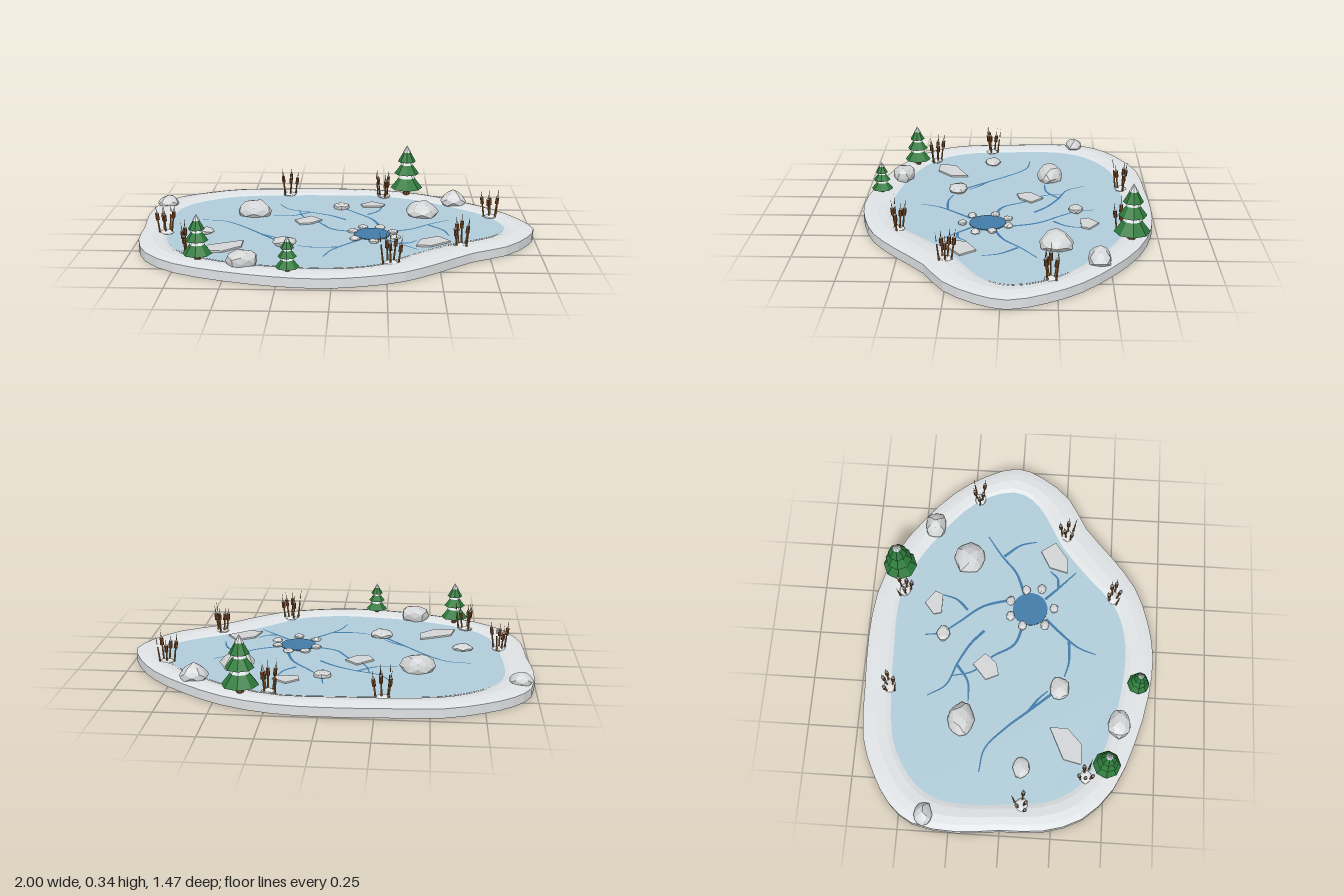
import * as THREE from 'three';

const mat = (name, color, side = THREE.FrontSide) => {
  const m = new THREE.MeshStandardMaterial({ color, flatShading: true, side });
  m.name = name;
  return m;
};
const M = {
  snow: mat('snow', 0xdfe2e4),
  rock: mat('paleStone', 0xd3d4d5),
  ice: mat('ice', 0xb0ccd9),
  water: mat('water', 0x427ba8, THREE.DoubleSide),
  green: mat('pineGreen', 0x2c7a3a),
  trunk: mat('bark', 0x6b4526),
  stalk: mat('stalk', 0x9a6a38),
  head: mat('cattailBrown', 0x6e4222),
};

// Matching shoreline points [x, z]: outer edge and edge of the ice
const OUTER = [[1, -.03], [.94, -.2], [.83, -.36], [.66, -.51], [.46, -.64], [.22, -.72], [-.02, -.74], [-.29, -.73], [-.56, -.71],
  [-.74, -.64], [-.88, -.55], [-.97, -.43], [-1, -.21], [-.98, 0], [-.97, .21], [-.9, .4], [-.74, .55], [-.5, .65], [-.26, .71],
  [-.05, .73], [.14, .7], [.33, .63], [.49, .51], [.66, .36], [.83, .26], [.95, .11]];
const INNER = [[.85, -.04], [.81, -.18], [.72, -.3], [.57, -.42], [.4, -.53], [.18, -.6], [-.05, -.6], [-.31, -.59], [-.55, -.56],
  [-.68, -.5], [-.78, -.42], [-.84, -.32], [-.86, -.19], [-.85, 0], [-.83, .2], [-.76, .35], [-.62, .46], [-.41, .535], [-.22, .57],
  [-.05, .585], [.09, .57], [.22, .52], [.36, .39], [.54, .235], [.71, .14], [.81, .06]];
const ICE_Y = 0.045;

function add(parent, name, geometry, material, x = 0, y = 0, z = 0) {
  const mesh = new THREE.Mesh(geometry, material);
  mesh.name = name;
  mesh.position.set(x, y, z);
  parent.add(mesh);
  return mesh;
}

function group(parent, name, x = 0, y = 0, z = 0) {
  const g = new THREE.Group();
  g.name = name;
  g.position.set(x, y, z);
  parent.add(g);
  return g;
}

function closedCurve(points, n) {
  const c = new THREE.CatmullRomCurve3(points.map(([x, z]) => new THREE.Vector3(x, 0, z)), true);
  return Array.from({ length: n }, (_, i) => c.getPoint(i / n));
}

// Flat horizontal polygon facing up or down
function flat(points, up) {
  const shape = new THREE.Shape(points.map(p => new THREE.Vector2(p.x, up ? -p.z : p.z)));
  return new THREE.ShapeGeometry(shape).rotateX(up ? -Math.PI / 2 : Math.PI / 2);
}

// Skin a stack of closed rows
function loft(rows) {
  const n = rows[0].length, pos = [], idx = [];
  rows.forEach(r => r.forEach(p => pos.push(p.x, p.y, p.z)));
  for (let r = 0; r < rows.length - 1; r++) for (let i = 0; i < n; i++) {
    const a = r * n + i, b = r * n + (i + 1) % n;
    idx.push(a, b, a + n, b, b + n, a + n);
  }
  const g = new THREE.BufferGeometry();
  g.setAttribute('position', new THREE.Float32BufferAttribute(pos, 3));
  g.setIndex(idx);
  g.computeVertexNormals();
  return g;
}

// Tapering flat strip through a few points
function ribbon(points, w0, w1) {
  const c = new THREE.CatmullRomCurve3(points.map(([x, z]) => new THREE.Vector3(x, 0, z)));
  const n = points.length * 4, left = [], right = [];
  for (let i = 0; i <= n; i++) {
    const p = c.getPoint(i / n), t = c.getTangent(i / n), w = THREE.MathUtils.lerp(w0, w1, i / n) / 2;
    left.push(new THREE.Vector3(p.x - t.z * w, 0, p.z + t.x * w));
    right.unshift(new THREE.Vector3(p.x + t.z * w, 0, p.z - t.x * w));
  }
  return flat([...left, ...right], true);
}

// Irregular faceted boulder
function rockGeometry(rx, ry, rz, seed) {
  const g = new THREE.IcosahedronGeometry(1, 1), p = g.attributes.position, v = new THREE.Vector3();
  for (let i = 0; i < p.count; i++) {
    v.fromBufferAttribute(p, i);
    const k = 1 + 0.1 * Math.sin(v.x * 4.1 + seed) * Math.cos(v.z * 3.7 + seed * 2) + 0.05 * Math.sin(v.y * 5 + seed * 3);
    p.setXYZ(i, v.x * k * rx, Math.max(v.y, -0.4) * k * ry, v.z * k * rz);
  }
  g.computeVertexNormals();
  return g;
}

function pine(parent, x, z, top, radius) {
  const base = 0.048, H = top - base, g = group(parent, 'pineTree', x, base, z);
  add(g, 'trunk', new THREE.CylinderGeometry(radius * .17, radius * .22, H * .3, 7), M.trunk, 0, H * .15, 0);
  // [bottom, top, radius, snow share of the tier]
  [[.16, .56, 1, .5], [.45, .78, .78, .48], [.69, 1, .56, .42]].forEach(([b, t, r, s]) => {
    const h = (t - b) * H, R = r * radius;
    add(g, 'branches', new THREE.ConeGeometry(R, h, 8), M.green, 0, b * H + h / 2, 0);
    add(g, 'snowCap', new THREE.ConeGeometry(R * s * 1.08, h * s * 1.04, 8), M.snow, 0, t * H - h * s / 2 + .002, 0);
  });
}

function reeds(parent, x, z, seed) {
  const g = group(parent, 'cattails', x, 0.05, z);
  add(g, 'snowMound', rockGeometry(.035, .012, .03, seed), M.snow);
  for (let i = 0; i < 5; i++) {
    const a = seed * 1.7 + i * 2.4, r = .014 + .007 * i, h = .075 + .02 * ((i * 3 + seed) % 4) / 3;
    const s = group(g, 'cattail', Math.cos(a) * r, 0, Math.sin(a) * r * .8);
    s.rotation.set(Math.sin(a) * .13, 0, -Math.cos(a) * .13);
    add(s, 'stem', new THREE.CylinderGeometry(.0035, .005, h, 5), M.stalk, 0, h / 2, 0);
    if (i < 4) {
      add(s, 'seedHead', new THREE.CylinderGeometry(.009, .01, .036, 6), M.head, 0, h, 0);
      add(s, 'headSnow', new THREE.ConeGeometry(.009, .008, 6), M.snow, 0, h + .022, 0);
    }
    add(s, 'tip', new THREE.ConeGeometry(.0025, .05, 4), M.stalk, 0, h + .04, 0);
  }
}

export function createModel() {
  const model = new THREE.Group();
  model.name = 'frozenPond';

  // Bank: outer wall, rounded snowy rim, slope down to the ice
  const N = 52, outer = closedCurve(OUTER, N), inner = closedCurve(INNER, N);
  const row = (t, y) => outer.map((p, i) => p.clone().lerp(inner[i], t).setY(y));
  add(model, 'snowBank', loft([row(0, 0), row(0, .046), row(.22, .053), row(.5, .057), row(.82, .051), row(1, .042)]), M.snow);
  add(model, 'underside', flat(outer, false), M.snow);
  add(model, 'ice', flat(row(.97, 0), true), M.ice, 0, ICE_Y, 0);

  // Fishing hole ringed with small stones
  add(model, 'waterHole', new THREE.CylinderGeometry(.09, .09, .004, 32), M.water, .18, ICE_Y + .002, .085);
  [[.135, -.015], [.22, -.02], [.285, .06], [.295, .14], [.19, .21], [.095, .165], [.085, .05]].forEach(([x, z], i) =>
    add(model, 'holeStone', rockGeometry(.026, .014, .022, i), M.rock, x, ICE_Y + .004, z));

  // Cracks in the ice
  const cracks = group(model, 'cracks', 0, ICE_Y + .002, 0);
  [
    [[.23, 0], [.18, -.16], [.085, -.28], [.02, -.37], [.005, -.45]],
    [[.155, -.24], [.21, -.3], [.235, -.39]],
    [[.1, .055], [-.02, .015], [-.09, -.09], [-.18, -.19], [-.21, -.3]],
    [[.045, -.145], [-.03, -.21], [-.14, -.27], [-.26, -.32], [-.32, -.41]],
    [[-.15, -.27], [-.235, -.21], [-.34, -.2]],
    [[.26, .05], [.38, 0], [.47, -.08], [.58, -.16]],
    [[.47, -.07], [.54, .015], [.565, .1]],
    [[-.24, .26], [-.37, .11], [-.465, 0], [-.58, -.1], [-.7, -.12]],
    [[-.37, .11], [-.31, .15], [-.26, .2]],
    [[.13, .17], [.03, .28], [-.02, .35], [-.05, .435]],
    [[.02, .295], [-.1, .3], [-.18, .28]],
    [[.24, .16], [.32, .24], [.4, .315]],
    [[.31, .225], [.36, .22], [.4, .18]],
  ].forEach(pts => add(cracks, 'crack', ribbon(pts, .015, .006), M.water));

  // Snow-dusted ice plates
  [
    [[-.22, -.12], [-.14, -.19], [-.08, -.13], [-.13, -.07], [-.19, -.055]],
    [[.12, -.415], [.18, -.465], [.25, -.415], [.23, -.375], [.13, -.375]],
    [[.395, .27], [.42, .175], [.51, .125], [.565, .2], [.47, .27]],
    [[-.63, .385], [-.61, .295], [-.45, .22], [-.45, .31], [-.53, .385]],
  ].forEach(pts => {
    const shape = new THREE.Shape(pts.map(([x, z]) => new THREE.Vector2(x, -z)));
    const plate = new THREE.ExtrudeGeometry(shape, { depth: .008, bevelEnabled: false }).rotateX(-Math.PI / 2);
    add(model, 'icePlate', plate, M.rock, 0, ICE_Y, 0);
  });

  // Boulders: x, z, half width, half depth, top height
  [[-.44, -.23, .087, .067, .122], [.44, -.25, .085, .08, .12], [.62, -.445, .07, .055, .125], [-.925, -.375, .056, .045, .105],
    [-.665, .09, .052, .042, .075], [-.245, .26, .06, .05, .085], [-.415, .565, .075, .058, .125], [.015, -.355, .043, .035, .075],
  ].forEach(([x, z, rx, rz, top], i) => {
    const ry = (top - ICE_Y) / 1.4;
    add(model, 'boulder', rockGeometry(rx, ry, rz, i * 1.9 + 1), M.rock, x, ICE_Y + ry * .4, z);
  });

  // Pines on the bank
  pine(model, .37, -.61, .333, .088);
  pine(model, -.63, .51, .272, .07);
  pine(model, -.2, .655, .218, .056);

  // Cattail clumps along the shore
  [[-.85, .1], [-.69, .41], [-.285, -.605], [.245, -.575], [.8, -.22], [.61, .26], [.27, .515]]
    .forEach(([x, z], i) => reeds(model, x, z, i + 1));

  return model;
}
